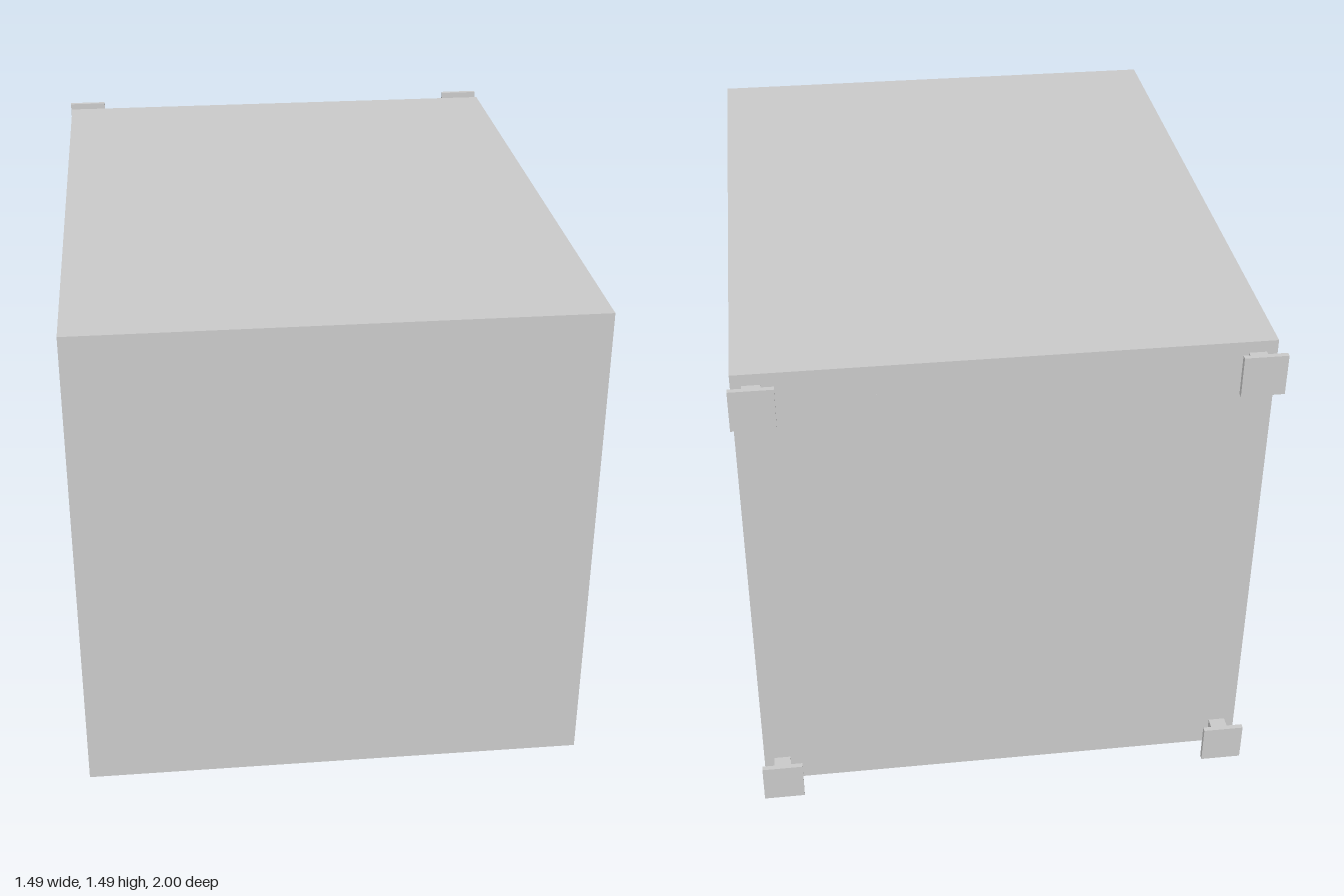
import * as THREE from 'three';

const material = new THREE.MeshStandardMaterial({ color: 0xcccccc, flatShading: true });
const W = 0.74, BACK = -0.92, FRONT = 1;

// Adds a rectangle in plan (x, z) to a shape or path
function rect(path, x0, x1, z0, z1) {
  path.moveTo(x0, -z1);
  path.lineTo(x1, -z1);
  path.lineTo(x1, -z0);
  path.lineTo(x0, -z0);
  path.closePath();
  return path;
}

// Openings reached from underneath
const bay = () => rect(new THREE.Path(), -0.73, -0.03, -0.86, 0.31);
const pocket = () => rect(new THREE.Path(), 0.15, 0.57, -0.71, -0.065);
const port = () => new THREE.Path().absarc(0.21, 0.4, 0.055, 0, Math.PI * 2);

// Horizontal slice of the cabinet with its openings
function layer(name, y0, y1, front, holes) {
  const shape = rect(new THREE.Shape(), -W, W, BACK, front);
  shape.holes.push(...holes);
  const geo = new THREE.ExtrudeGeometry(shape, { depth: y1 - y0, bevelEnabled: false, curveSegments: 16 });
  geo.rotateX(-Math.PI / 2);
  geo.translate(0, y0, 0);
  const mesh = new THREE.Mesh(geo, material);
  mesh.name = name;
  return mesh;
}

function box(name, w, h, d, x, y, z) {
  const mesh = new THREE.Mesh(new THREE.BoxGeometry(w, h, d), material);
  mesh.name = name;
  mesh.position.set(x, y, z);
  return mesh;
}

export function createModel() {
  const model = new THREE.Group();
  model.name = 'cabinet';

  // Cabinet body, stacked from the base plate up to the closed top
  const body = new THREE.Group();
  body.name = 'body';
  body.add(
    layer('basePlate', 0, 0.03, 0.37, [bay(), pocket()]),
    layer('lowerBody', 0.03, 0.22, FRONT, [bay(), pocket()]),
    layer('portBody', 0.22, 0.44, FRONT, [bay(), port()]),
    layer('upperBody', 0.44, 1.4, FRONT, [bay()]),
    layer('top', 1.4, 1.49, FRONT, [])
  );
  model.add(body);

  // Four spacers on the back: a short stem with a square pad
  for (const x of [-0.685, 0.685]) {
    for (const y of [0.061, 1.428]) {
      const spacer = new THREE.Group();
      spacer.name = 'backSpacer';
      spacer.add(
        box('stem', 0.05, 0.055, 0.065, x, y, -0.9525),
        box('pad', 0.122, 0.122, 0.015, x, y, -0.9925)
      );
      model.add(spacer);
    }
  }
  return model;
}
